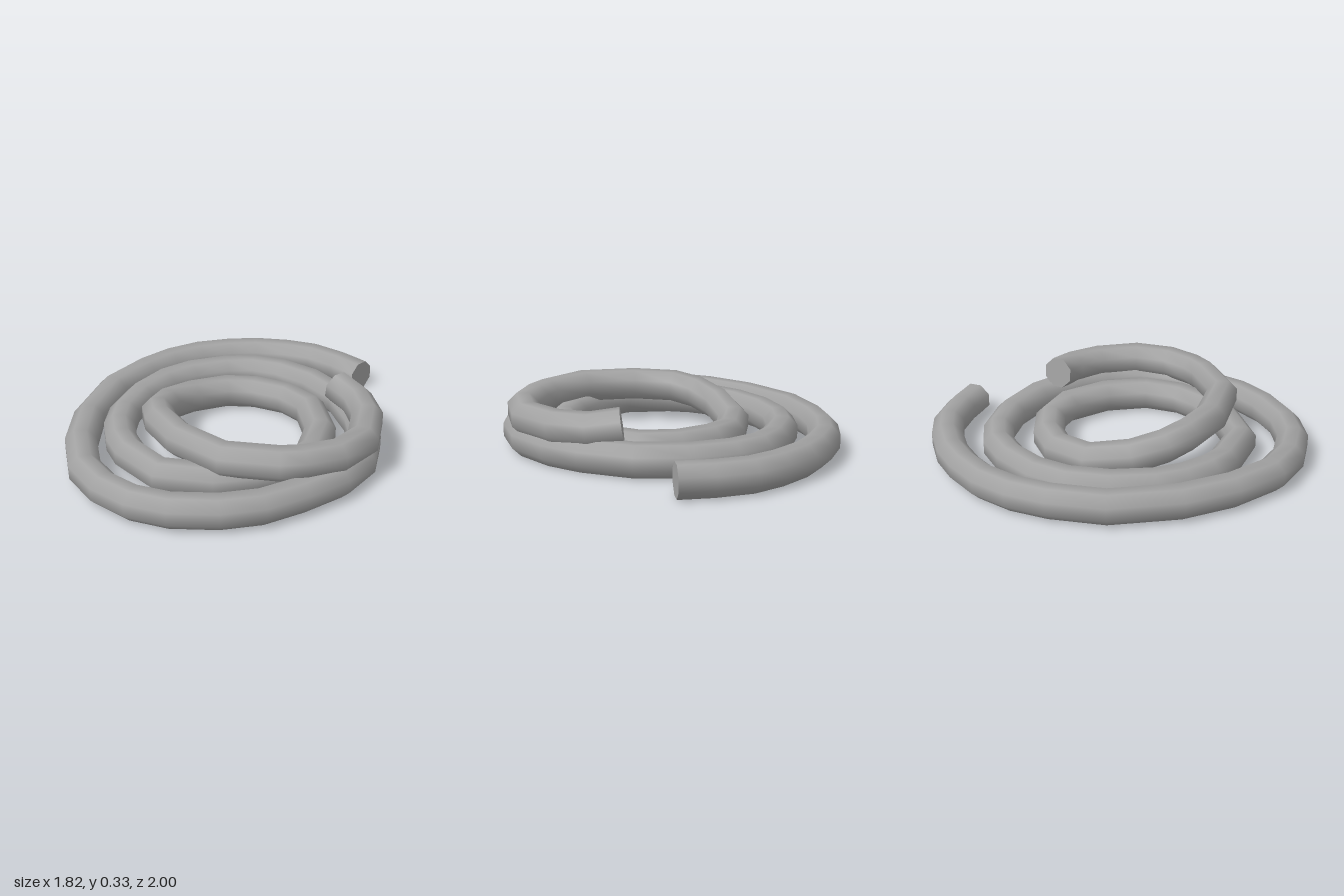
import * as THREE from 'three';

const SIDES = 8;
const RADIUS = 0.093;
const REST_Y = 0.092;

// Centre line lying on the ground, from the outer end inwards: x, z
const GROUND = [
  0.84, -0.53, 0.725, -0.67, 0.58, -0.8, 0.42, -0.87, 0.23, -0.913, 0.055, -0.913,
  -0.14, -0.88, -0.32, -0.795, -0.48, -0.665, -0.67, -0.44, -0.8, -0.09, -0.83, 0.2,
  -0.795, 0.475, -0.69, 0.665, -0.54, 0.805, -0.36, 0.885, -0.12, 0.913, 0.09, 0.885,
  0.3, 0.79, 0.5, 0.67, 0.65, 0.5, 0.715, 0.28, 0.72, 0.08, 0.665, -0.2,
  0.525, -0.435, 0.355, -0.585, 0.19, -0.655, 0.02, -0.66, -0.2, -0.605, -0.36, -0.505,
  -0.505, -0.33, -0.6, -0.12, -0.625, 0.04, -0.61, 0.2, -0.565, 0.33, -0.4, 0.55,
  -0.13, 0.622, 0.07, 0.605, 0.24, 0.55, 0.4, 0.41, 0.485, 0.17, 0.465, -0.1,
  0.345, -0.265, 0.17, -0.36, 0, -0.385,
];

// Centre line climbing over the lower coils to the free end: x, y, z
const RAISED = [
  -0.21, 0.105, -0.3, -0.36, 0.15, -0.12, -0.41, 0.19, 0.05, -0.395, 0.215, 0.2,
  -0.295, 0.222, 0.415, -0.08, 0.226, 0.635, 0.2, 0.222, 0.695, 0.32, 0.22, 0.69,
  0.5, 0.216, 0.635, 0.66, 0.215, 0.485, 0.725, 0.218, 0.25, 0.705, 0.225, 0.06,
  0.615, 0.248, -0.085,
];

function centreLine() {
  const points = [];
  for (let i = 0; i < GROUND.length; i += 2) points.push(new THREE.Vector3(GROUND[i], REST_Y, GROUND[i + 1]));
  for (let i = 0; i < RAISED.length; i += 3) points.push(new THREE.Vector3().fromArray(RAISED, i));
  return points;
}

// Sweep an octagon along the line, kept upright so it rests on a flat side
function ropeGeometry(points) {
  const positions = [];
  const index = [];
  const last = points.length - 1;
  const up = new THREE.Vector3(0, 1, 0);
  points.forEach((p, i) => {
    const before = points[Math.max(i - 1, 0)];
    const after = points[Math.min(i + 1, last)];
    const into = p.clone().sub(before).normalize();
    const out = after.clone().sub(p).normalize();
    const tangent = into.add(out).normalize();
    const side = new THREE.Vector3().crossVectors(tangent, up).normalize();
    const top = new THREE.Vector3().crossVectors(side, tangent);
    for (let j = 0; j < SIDES; j++) {
      const a = ((j + 0.5) / SIDES) * Math.PI * 2;
      const v = p.clone().addScaledVector(side, Math.cos(a) * RADIUS).addScaledVector(top, Math.sin(a) * RADIUS);
      positions.push(v.x, v.y, v.z);
      if (i < last) {
        const a0 = i * SIDES + j;
        const b0 = i * SIDES + ((j + 1) % SIDES);
        index.push(a0, a0 + SIDES, b0, b0, a0 + SIDES, b0 + SIDES);
      }
    }
  });

  // Flat caps with their own corners, so the rims stay sharp
  for (const ring of [0, last]) {
    const base = positions.length / 3;
    for (let j = 0; j < SIDES * 3; j++) positions.push(positions[ring * SIDES * 3 + j]);
    for (let j = 1; j < SIDES - 1; j++) {
      if (ring === 0) index.push(base, base + j, base + j + 1);
      else index.push(base, base + j + 1, base + j);
    }
  }

  const geometry = new THREE.BufferGeometry();
  geometry.setAttribute('position', new THREE.Float32BufferAttribute(positions, 3));
  geometry.setIndex(index);
  geometry.computeVertexNormals();
  return geometry;
}

export function createModel() {
  const group = new THREE.Group();
  group.name = 'coiledRope';
  const grey = new THREE.MeshStandardMaterial({ color: 0xa2a2a2 });
  grey.name = 'ropeGrey';

  const rope = new THREE.Mesh(ropeGeometry(centreLine()), grey);
  rope.name = 'rope';
  group.add(rope);
  return group;
}
